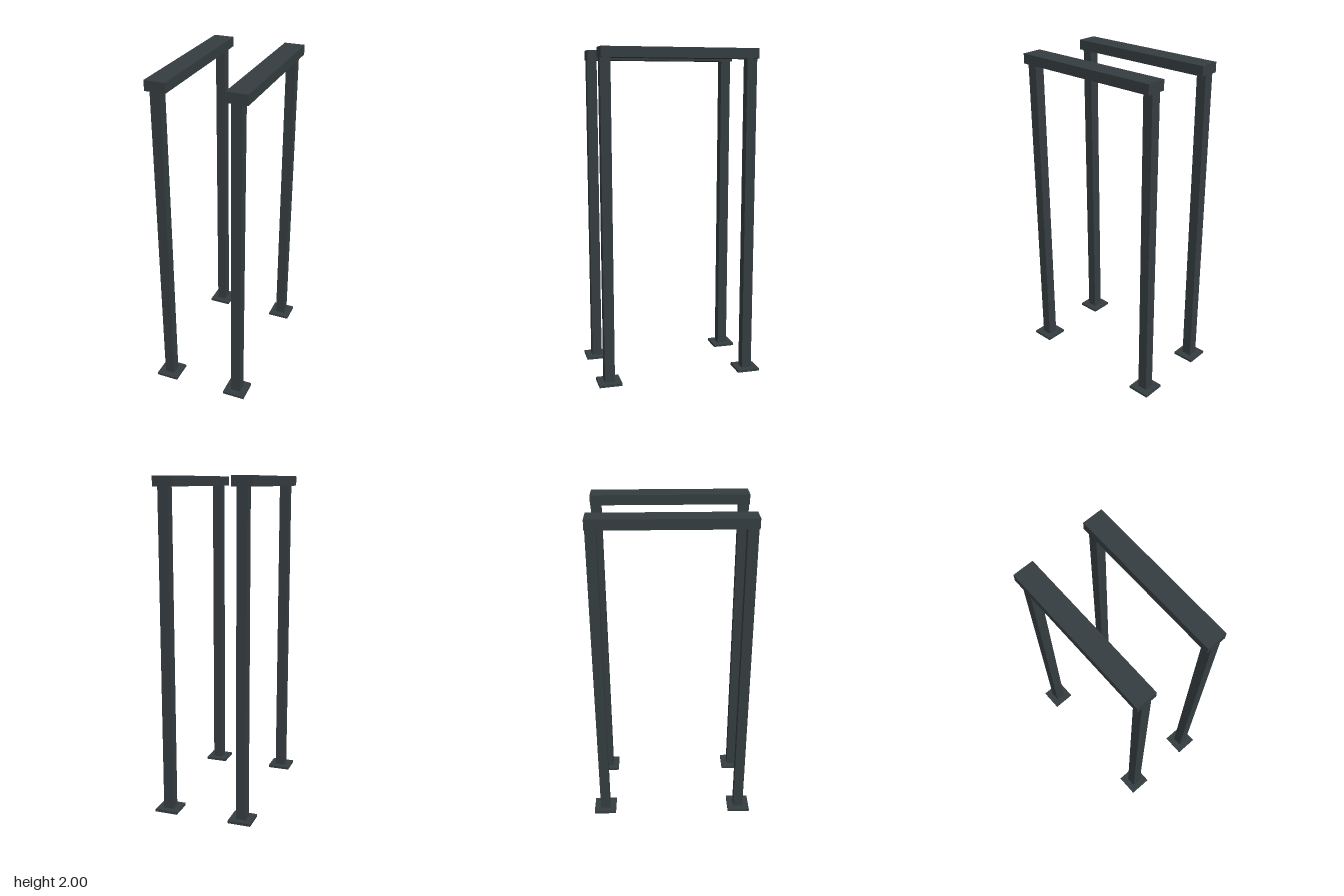
import * as THREE from 'three';

const X = 0.232;      // bar centre line
const Z = 0.441;      // post centre line
const PLATE = 0.015;  // foot plate thickness
const BEAM = 0.06;    // beam height

export function createModel() {
  const model = new THREE.Group();
  model.name = 'parallelBars';
  const steel = new THREE.MeshStandardMaterial({ color: 0x353d40 });

  // Box resting on height y
  const box = (parent, name, w, h, d, x, y, z) => {
    const mesh = new THREE.Mesh(new THREE.BoxGeometry(w, h, d), steel);
    mesh.name = name;
    mesh.position.set(x, y + h / 2, z);
    parent.add(mesh);
  };

  for (const sx of [-1, 1]) {
    const frame = new THREE.Group();
    frame.name = sx > 0 ? 'leftFrame' : 'rightFrame';
    frame.position.x = sx * X;
    model.add(frame);

    // Flat top beam
    box(frame, 'topBeam', 0.125, BEAM, 0.944, 0, 2 - BEAM, 0);

    // Front and back posts on square foot plates
    for (const sz of [-1, 1]) {
      const end = sz > 0 ? 'front' : 'back';
      box(frame, end + 'Post', 0.061, 2 - BEAM - PLATE, 0.061, 0, PLATE, sz * Z);
      box(frame, end + 'FootPlate', 0.14, PLATE, 0.14, 0, 0, sz * Z);
    }
  }
  return model;
}
